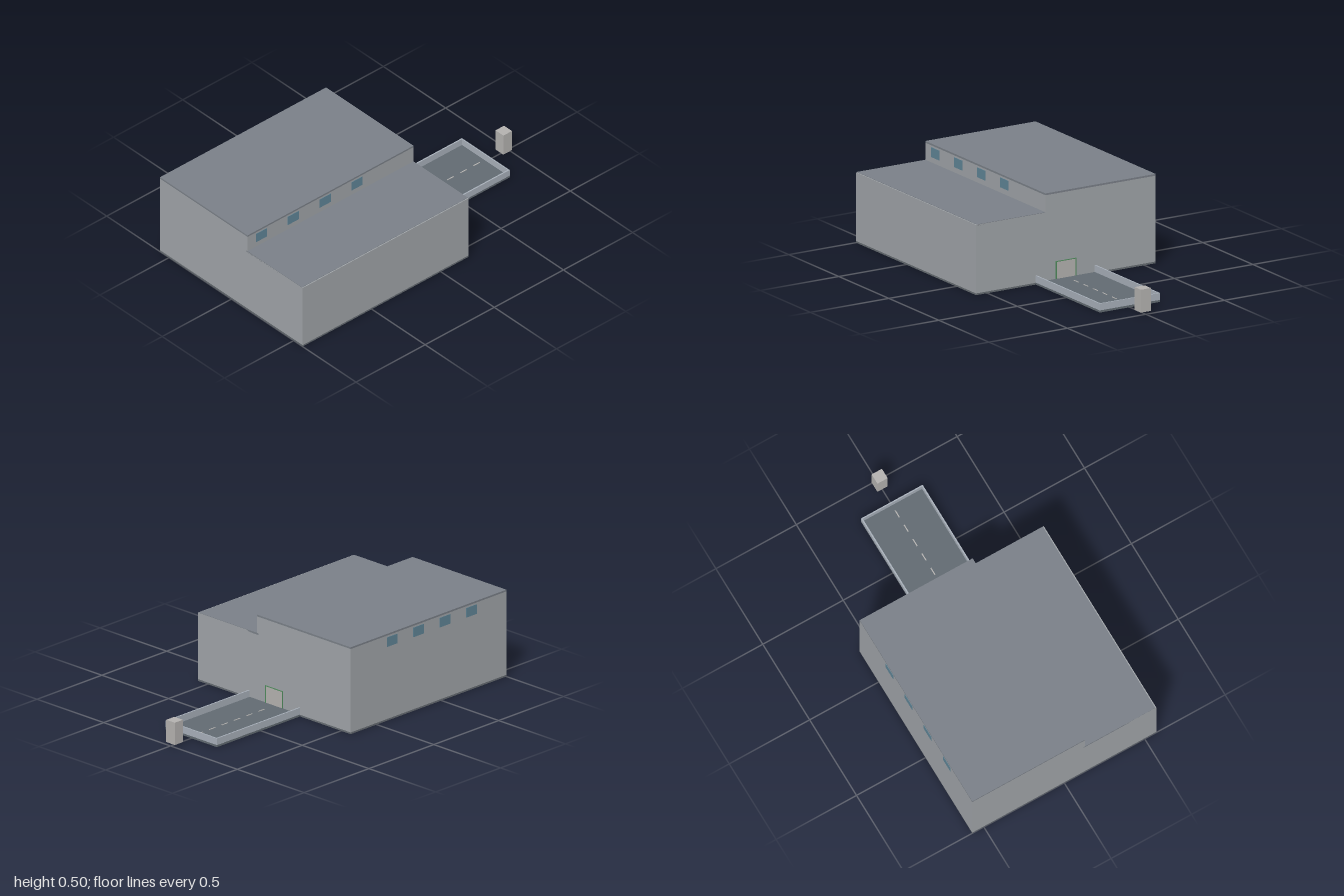
import * as THREE from 'three';

const mat = (color) => new THREE.MeshStandardMaterial({ color });
const wallMat = mat(0xa0a4a8);
const roofMat = mat(0x7a8088);
const baseMat = mat(0x666c72);
const curbMat = mat(0xa8b0ba);
const roadMat = mat(0x626b72);
const glassMat = mat(0x5f8496);
const paleMat = mat(0xb4b2b0);
const greenMat = mat(0x4f8a5c);

// Box given by its lower and upper corners
function block(parent, name, material, [x0, y0, z0], [x1, y1, z1]) {
  const mesh = new THREE.Mesh(new THREE.BoxGeometry(x1 - x0, y1 - y0, z1 - z0), material);
  mesh.position.set((x0 + x1) / 2, (y0 + y1) / 2, (z0 + z1) / 2);
  mesh.name = name;
  parent.add(mesh);
  return mesh;
}

function createHall() {
  const hall = new THREE.Group();
  hall.name = 'hall';

  // Stepped side profile, extruded across the width
  const profile = new THREE.Shape();
  profile.moveTo(-0.572, 0.01);
  profile.lineTo(0.572, 0.01);
  profile.lineTo(0.572, 0.49);
  profile.lineTo(-0.13, 0.49);
  profile.lineTo(-0.13, 0.393);
  profile.lineTo(-0.572, 0.393);
  profile.closePath();
  const geometry = new THREE.ExtrudeGeometry(profile, { depth: 1.2, bevelEnabled: false });
  geometry.rotateY(Math.PI / 2);
  const walls = new THREE.Mesh(geometry, wallMat);
  walls.position.x = -1;
  walls.name = 'walls';
  hall.add(walls);

  block(hall, 'foundation', baseMat, [-1, 0, -0.572], [0.2, 0.01, 0.572]);
  block(hall, 'upperRoof', roofMat, [-1, 0.49, -0.572], [0.2, 0.5, 0.13]);
  block(hall, 'lowerRoof', roofMat, [-1, 0.385, 0.12], [0.2, 0.395, 0.566]);

  // Clerestory windows, front and back
  for (let i = 0; i < 4; i++) {
    const front = -0.9 + i * 0.23;
    const back = -0.73 + i * 0.204;
    block(hall, 'frontWindow', glassMat, [front - 0.04, 0.425, 0.12], [front + 0.04, 0.48, 0.132]);
    block(hall, 'backWindow', glassMat, [back - 0.04, 0.425, -0.574], [back + 0.04, 0.48, -0.56]);
  }

  // Doorway onto the yard
  block(hall, 'door', paleMat, [0.19, 0.01, -0.06], [0.202, 0.108, 0.06]);
  for (const s of [-1, 1]) {
    block(hall, 'doorJamb', greenMat, [0.19, 0.01, s * 0.063 - 0.003], [0.204, 0.11, s * 0.063 + 0.003]);
  }
  block(hall, 'doorLintel', greenMat, [0.19, 0.107, -0.066], [0.204, 0.111, 0.066]);
  return hall;
}

function createYard() {
  const yard = new THREE.Group();
  yard.name = 'yard';
  block(yard, 'yardFloor', roadMat, [0.2, 0, -0.192], [0.84, 0.012, 0.192]);

  // Low walls on three sides
  for (const s of [-1, 1]) {
    block(yard, 'sideCurb', curbMat, [0.2, 0.011, s * 0.188 - 0.004], [0.84, 0.05, s * 0.188 + 0.004]);
  }
  block(yard, 'endCurb', curbMat, [0.833, 0.011, -0.184], [0.84, 0.05, 0.184]);

  // Dashed centre line
  for (let i = 0; i < 6; i++) {
    const x = 0.278 + i * 0.095;
    block(yard, 'laneDash', paleMat, [x, 0.01, -0.006], [x + 0.046, 0.014, 0]);
  }
  return yard;
}

export function createModel() {
  const model = new THREE.Group();
  model.name = 'warehouse';
  model.add(createHall(), createYard());
  // Free-standing post beyond the yard
  block(model, 'gatePost', paleMat, [0.938, 0.014, -0.032], [1, 0.142, 0.032]);
  return model;
}
